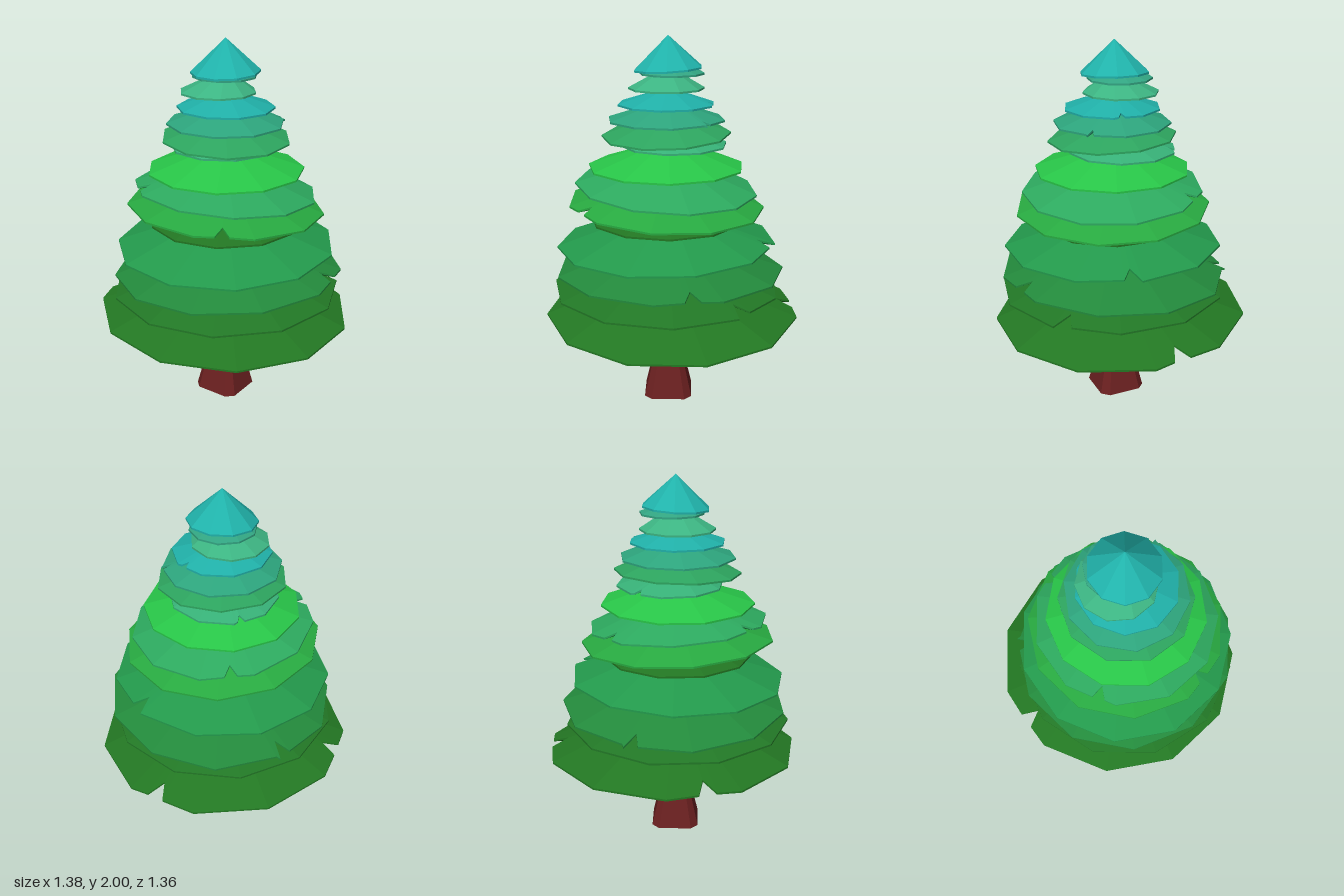
import * as THREE from 'three';

const AXIS_X = -0.02, AXIS_Z = 0.02;

// Joins loops of [x, y, z] points from bottom to top; a single-point loop is a tip.
function loft(name, loops, color) {
  const pos = [], idx = [], start = [];
  for (const loop of loops) {
    start.push(pos.length / 3);
    loop.forEach(p => pos.push(...p));
  }
  for (let k = 0; k + 1 < loops.length; k++) {
    const a = loops[k].length, b = loops[k + 1].length, n = Math.max(a, b);
    for (let i = 0; i < n; i++) {
      const j = (i + 1) % n;
      const a0 = start[k] + (i % a), a1 = start[k] + (j % a);
      const b0 = start[k + 1] + (i % b), b1 = start[k + 1] + (j % b);
      if (a > 1) idx.push(a0, b0, a1);
      if (b > 1) idx.push(a1, b0, b1);
    }
  }
  const g = new THREE.BufferGeometry();
  g.setAttribute('position', new THREE.Float32BufferAttribute(pos, 3));
  g.setIndex(idx);
  g.computeVertexNormals();
  const mesh = new THREE.Mesh(g, new THREE.MeshStandardMaterial({ color, flatShading: true }));
  mesh.name = name;
  return mesh;
}

// Square trunk section with cut corners.
function trunkLoop(y, half) {
  const c = half * 0.7;
  return [[half, c], [c, half], [-c, half], [-half, c], [-half, -c], [-c, -half], [c, -half], [half, -c]]
    .map(([x, z]) => [AXIS_X + x, y, AXIS_Z + z]);
}

// Rim directions: regular steps, plus a pulled-in point at every split (degrees).
function rimPoints(sides, phase, splits) {
  const pts = [];
  for (let i = 0; i < sides; i++) pts.push({ a: (phase + i * 360 / sides) % 360, r: 1 });
  for (const s of splits) pts.push({ a: s - 4, r: 0.97 }, { a: s, r: 0.84 }, { a: s + 4, r: 0.97 });
  return pts.sort((p, q) => p.a - q.a);
}

// A shallow cone of foliage with a hollow underside, tilted along +x and +z.
function tier(name, { r, y, color, cx = -0.03, cz = 0.03, tx = 0, tz = 0, slope = 0.34, splits = [] }, sides, phase) {
  const h = slope * r, rim = rimPoints(sides, phase, splits);
  const ring = (scale, lift, split) => rim.map(p => {
    const a = THREE.MathUtils.degToRad(p.a), s = split ? p.r : scale;
    const c = Math.cos(a) * s, d = Math.sin(a) * s;
    return [THREE.MathUtils.lerp(AXIS_X, cx, scale) + r * c,
      y + lift + tx * c + tz * d + (split ? (1 - p.r) * h : 0),
      THREE.MathUtils.lerp(AXIS_Z, cz, scale) + r * d];
  });
  return loft(name, [
    [[AXIS_X, y + h * 0.5, AXIS_Z]],
    ring(0.42, h * 0.12, false),
    ring(1, -0.006, true),
    ring(1, 0.004, true),
    [[AXIS_X, y + h, AXIS_Z]],
  ], color);
}

export function createModel() {
  const tree = new THREE.Group();
  tree.name = 'tree';

  // Flared trunk tapering up through the foliage
  const trunk = [[0, 0.131], [0.23, 0.08], [0.5, 0.07], [1.45, 0.045], [1.85, 0.02]];
  tree.add(loft('trunk', [
    [[AXIS_X, 0, AXIS_Z]],
    ...trunk.map(([y, half]) => trunkLoop(y, half)),
    [[AXIS_X, 1.86, AXIS_Z]],
  ], 0x6b2020));

  // Foliage tiers from bottom to top
  const tiers = [
    { r: 0.695, y: 0.49, color: '#237823', cx: 0, cz: 0, tz: -0.024, slope: 0.38, splits: [253, 356] },
    { r: 0.62, y: 0.65, color: '#227826', splits: [48] },
    { r: 0.62, y: 0.745, color: '#238a3c', cx: -0.01, tz: 0.025, splits: [78, 290] },
    { r: 0.59, y: 0.9, color: '#239a4c', tx: 0.015, splits: [14] },
    { r: 0.41, y: 1.035, color: '#227522' },
    { r: 0.525, y: 1.115, color: '#28aa41', tx: -0.025, tz: -0.015, splits: [147] },
    { r: 0.485, y: 1.21, color: '#2daa5f', tx: -0.03, tz: -0.02, splits: [217, 318] },
    { r: 0.415, y: 1.32, color: '#28c648' },
    { r: 0.285, y: 1.43, color: '#37b278', cx: 0.01, cz: -0.01, splits: [305] },
    { r: 0.34, y: 1.49, color: '#2da55f', tx: 0.01, tz: -0.015 },
    { r: 0.31, y: 1.57, color: '#2da57d', splits: [45] },
    { r: 0.255, y: 1.65, color: '#20b0a8', splits: [12] },
    { r: 0.2, y: 1.725, color: '#3cb482', cz: -0.02, slope: 0.6 },
    { r: 0.17, y: 1.805, color: '#32a582', cx: 0, cz: 0, slope: 0.4 },
    { r: 0.18, y: 1.83, color: '#20b2aa', cx: -0.02, cz: 0.02, tx: 0.01, slope: 0.17 / 0.18 },
  ];
  tiers.forEach((t, i) => tree.add(tier(`foliageTier${i + 1}`, t, i < 8 ? 11 : 10, 9 + i * 11)));

  return tree;
}
